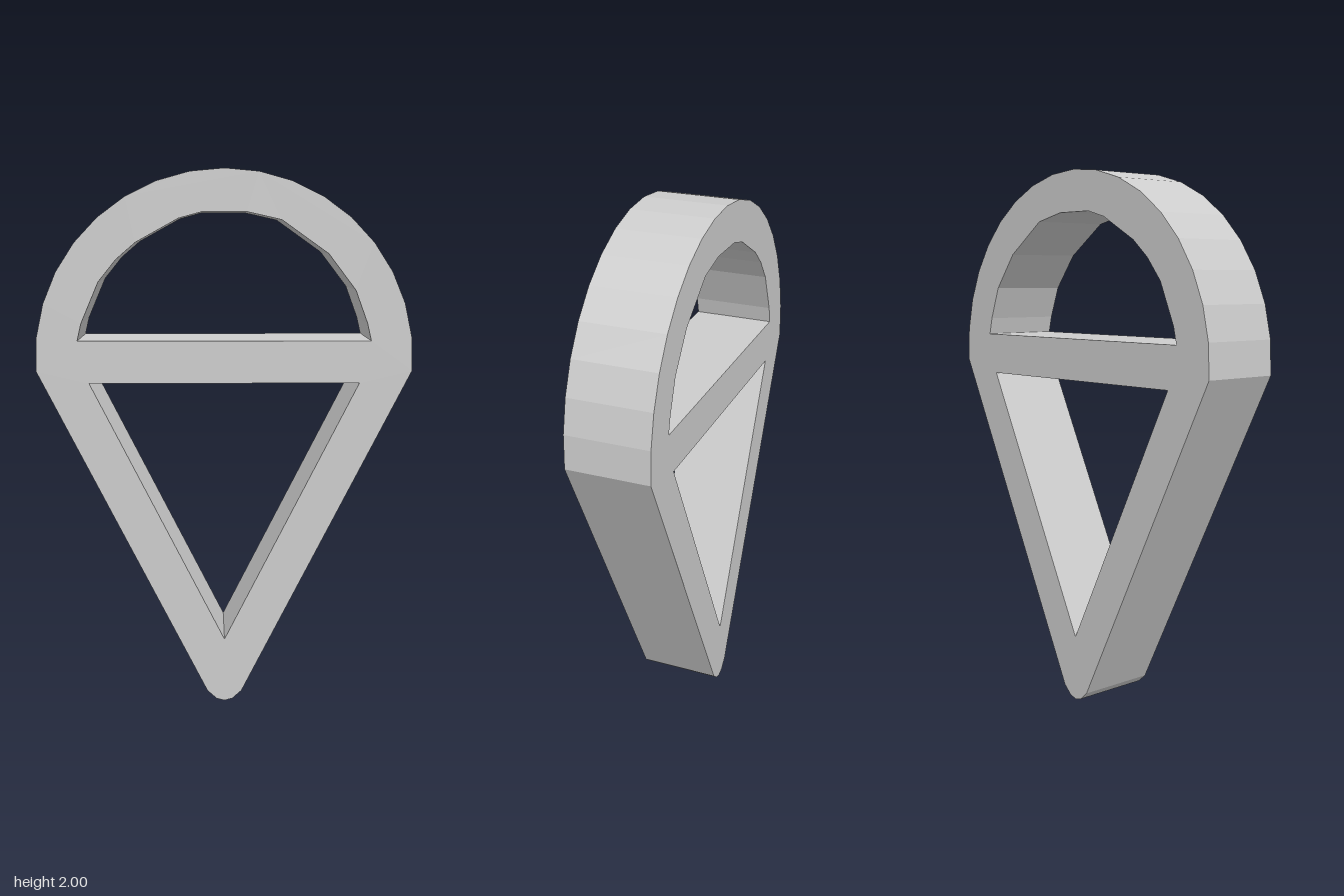
import * as THREE from 'three';

const HALF_DEPTH = 0.153;
const ARC_Y = 1.312;
const OUTER_R = 0.688;

const toPoints = (pairs) => pairs.map(([x, y]) => new THREE.Vector2(x, y));

export function createModel() {
  const grey = new THREE.MeshStandardMaterial({ color: 0xcccccc, flatShading: true });
  grey.name = 'plainGrey';

  // Outer outline: round head running into straight sides and a blunt tip
  const outline = [[-0.065, 0.04], [-0.03, 0.008], [0, 0], [0.03, 0.008], [0.065, 0.04]];
  const segments = 18;
  const start = -0.05;
  for (let i = 0; i <= segments; i++) {
    const a = start + (i / segments) * (Math.PI - 2 * start);
    outline.push([OUTER_R * Math.cos(a), ARC_Y + OUTER_R * Math.sin(a)]);
  }
  const shape = new THREE.Shape(toPoints(outline));

  // Faceted half-round opening above the crossbar
  shape.holes.push(new THREE.Path(toPoints([
    [-0.535, 1.387], [-0.52, 1.45], [-0.455, 1.6], [-0.39, 1.68], [-0.32, 1.74],
    [-0.165, 1.825], [-0.08, 1.848], [0.08, 1.848], [0.205, 1.82], [0.375, 1.7],
    [0.475, 1.57], [0.52, 1.45], [0.535, 1.387],
  ])));

  // Triangular opening below the crossbar
  shape.holes.push(new THREE.Path(toPoints([[-0.495, 1.232], [0.495, 1.232], [0, 0.248]])));

  const geometry = new THREE.ExtrudeGeometry(shape, { depth: 2 * HALF_DEPTH, bevelEnabled: false });
  geometry.translate(0, 0, -HALF_DEPTH);

  const frame = new THREE.Mesh(geometry, grey);
  frame.name = 'coneFrame';

  const model = new THREE.Group();
  model.name = 'coneCutter';
  model.add(frame);
  return model;
}
